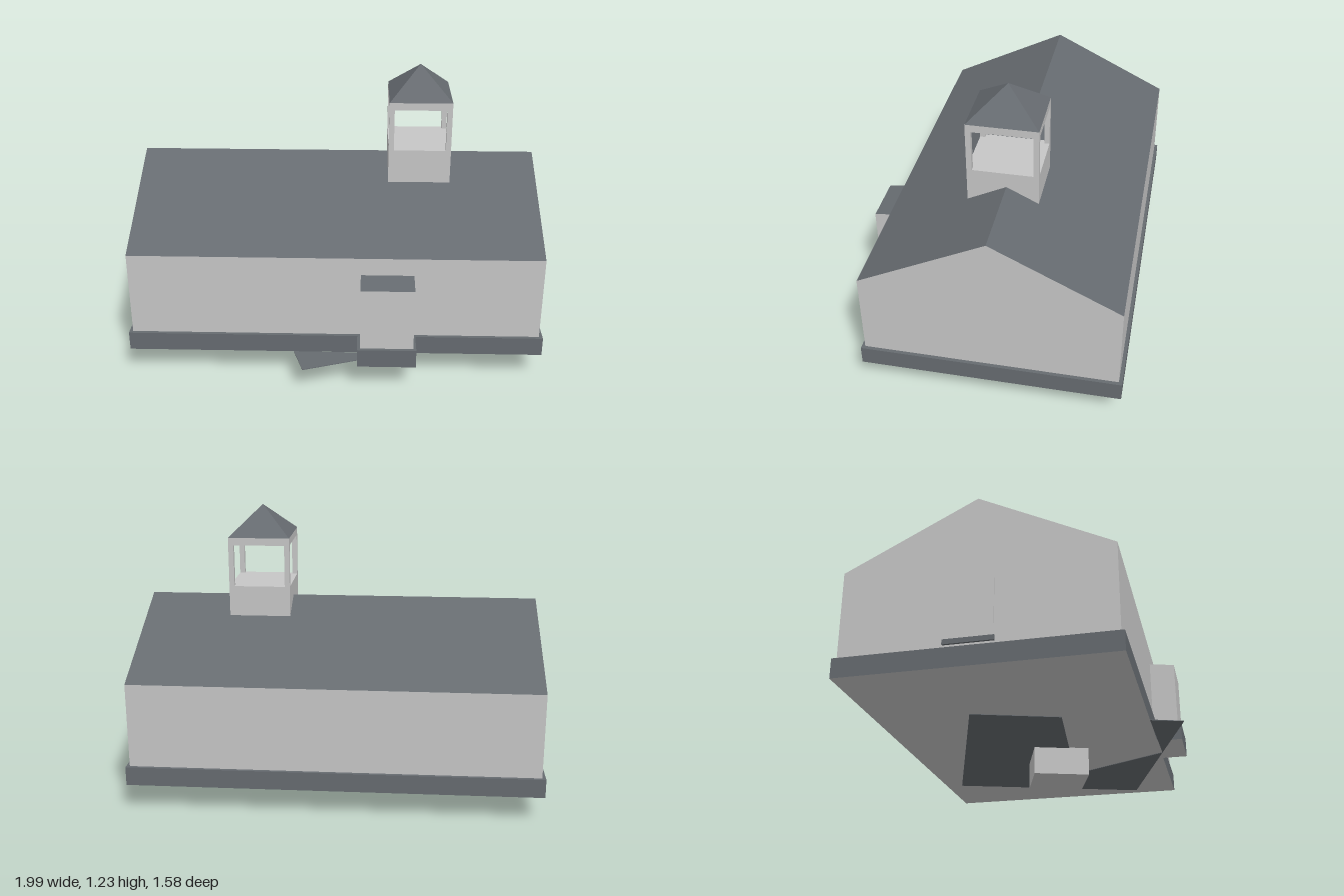
import * as THREE from 'three';

const wallPaint = new THREE.MeshStandardMaterial({ color: 0xc6c6c6 });
wallPaint.name = 'light grey walls';
const slate = new THREE.MeshStandardMaterial({ color: 0x666b70 });
slate.name = 'slate';

// Slate box with a light underside
const slabMaterials = [slate, slate, slate, wallPaint, slate, slate];

function add(parent, name, geometry, material) {
  const mesh = new THREE.Mesh(geometry, material);
  mesh.name = name;
  parent.add(mesh);
  return mesh;
}

// Box given by its lower and upper limits on each axis
function box(parent, name, [x0, x1], [y0, y1], [z0, z1], material) {
  const geometry = new THREE.BoxGeometry(x1 - x0, y1 - y0, z1 - z0);
  geometry.translate((x0 + x1) / 2, (y0 + y1) / 2, (z0 + z1) / 2);
  return add(parent, name, geometry, material);
}

// Profile of [z, y] points extruded along x: light ends, slate slopes
function gable(parent, name, [x0, x1], points) {
  const shape = new THREE.Shape(points.map(([z, y]) => new THREE.Vector2(z, y)));
  const geometry = new THREE.ExtrudeGeometry(shape, { depth: x1 - x0, bevelEnabled: false });
  geometry.rotateY(-Math.PI / 2);
  geometry.translate(x1, 0, 0);
  return add(parent, name, geometry, [wallPaint, slate]);
}

function createCupola() {
  const cupola = new THREE.Group();
  cupola.name = 'cupola';
  const w = 0.1325, d = 0.1475, post = 0.022;
  const sill = 0.888, head = 1.068, eaves = 1.1, apex = 1.226;

  box(cupola, 'cupolaBase', [-w, w], [0.6, sill], [-d, d], wallPaint);
  for (const s of [-1, 1]) {
    // Corner posts
    for (const t of [-1, 1]) {
      const px = s * (w - post / 2), pz = t * (d - post / 2);
      box(cupola, 'cupolaPost', [px - post / 2, px + post / 2], [sill, head],
        [pz - post / 2, pz + post / 2], wallPaint);
    }
    // Beams over the openings
    const bz = s * (d - post / 2), bx = s * (w - post / 2);
    box(cupola, 'cupolaBeam', [-w, w], [head, eaves], [bz - post / 2, bz + post / 2], wallPaint);
    box(cupola, 'cupolaSideBeam', [bx - post / 2, bx + post / 2], [head, eaves],
      [-d + post, d - post], wallPaint);
  }

  // Pyramid roof
  let roof = new THREE.ConeGeometry(Math.SQRT2, apex - eaves, 4);
  roof.rotateY(Math.PI / 4);
  roof.scale(w, 1, d);
  roof.translate(0, (apex + eaves) / 2, 0);
  roof = roof.toNonIndexed();
  roof.computeVertexNormals();
  add(cupola, 'cupolaRoof', roof, slate);

  cupola.position.set(0.351, 0, 0.015);
  return cupola;
}

export function createModel() {
  const model = new THREE.Group();
  model.name = 'hall';

  // The building stands turned on its footing
  const building = new THREE.Group();
  building.name = 'building';
  building.rotation.y = -0.322;
  model.add(building);

  const L = 0.855, W = 0.528, eaves = 0.56;
  box(building, 'plinth', [-0.87, 0.87], [0.12, 0.2], [-0.5425, 0.5425], slabMaterials);
  box(building, 'walls', [-L, L], [0.2, eaves], [-W, W], wallPaint);
  gable(building, 'mainRoof', [-L, L], [[-W, eaves], [W, eaves], [0, 0.823]]);

  // Entrance porch with a slightly sloping roof
  box(building, 'porchPlinth', [0.094, 0.337], [0.12, 0.2], [0.54, 0.648], slabMaterials);
  box(building, 'porchWalls', [0.106, 0.325], [0.2, 0.47], [0.5, 0.634], wallPaint);
  gable(building, 'porchRoof', [0.106, 0.325], [[0.5, 0.47], [0.634, 0.47], [0.5, 0.488]]);

  // Gable end door and threshold
  box(building, 'endDoor', [-L - 0.004, -L], [0.23, 0.47], [-0.116, 0.07], wallPaint);
  box(building, 'endThreshold', [-L - 0.009, -L], [0.215, 0.235], [-0.122, 0.074], slate);

  building.add(createCupola());

  // Footing block and the panel above it
  box(model, 'footing', [0.043, 0.285], [0, 0.12], [0.028, 0.265], wallPaint);
  const outlines = [
    [[-0.337, -0.27], [0.665, -0.27], [0.665, 0.6], [0.067, 0.6], [0.42, 0.26], [-0.337, 0.1]],
    [[-0.337, 0.46], [0.067, 0.6], [-0.337, 0.6]],
  ].map((points) => new THREE.Shape(points.map(([x, z]) => new THREE.Vector2(x, z))));
  const panel = new THREE.ExtrudeGeometry(outlines, { depth: 0.003, bevelEnabled: false });
  panel.rotateX(Math.PI / 2);
  panel.translate(0, 0.1205, 0);
  add(model, 'groundPanel', panel, slate);

  return model;
}
